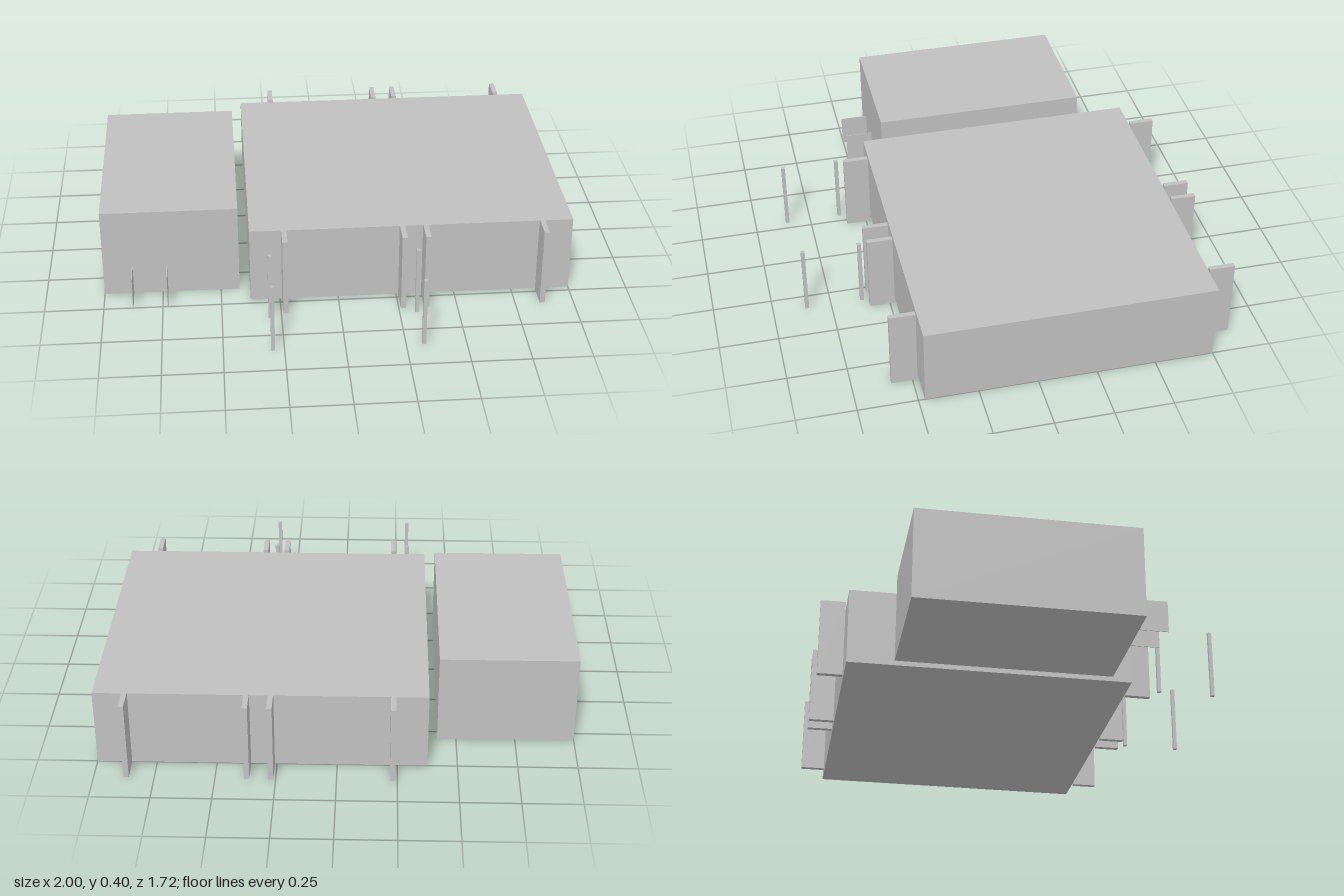
import * as THREE from 'three';

export function createModel() {
  const group = new THREE.Group();
  const grey = new THREE.MeshStandardMaterial({ color: 0xc0c0c0 });
  grey.name = 'plainGrey';

  // Box standing on the ground, given by its x and z extents and height
  function block(name, x0, x1, z0, z1, height) {
    const mesh = new THREE.Mesh(new THREE.BoxGeometry(x1 - x0, height, z1 - z0), grey);
    mesh.position.set((x0 + x1) / 2, height / 2, (z0 + z1) / 2);
    mesh.name = name;
    group.add(mesh);
  }

  // Two building volumes with a narrow gap between them
  block('mainHall', -0.375, 1, -0.75, 0.473, 0.338);
  block('sideBuilding', -1, -0.42, -0.552, 0.38, 0.397);

  // Tall wall fins, repeated on the front and back of the hall
  for (const x of [-0.23, 0.27, 0.369, 0.866]) {
    block('frontFin', x - 0.011, x + 0.011, 0.479, 0.588, 0.347);
    block('backFin', x - 0.011, x + 0.011, -0.862, -0.754, 0.347);
  }

  // Low thin partitions in front of the side building
  for (const x of [-0.876, -0.729]) {
    block('lowPartition', x - 0.0015, x + 0.0015, 0.38, 0.502, 0.136);
  }

  // Four free-standing posts
  for (const x of [-0.297, 0.324]) {
    for (const z of [0.614, 0.854]) {
      block('post', x - 0.008, x + 0.008, z - 0.008, z + 0.008, 0.305);
    }
  }

  return group;
}
